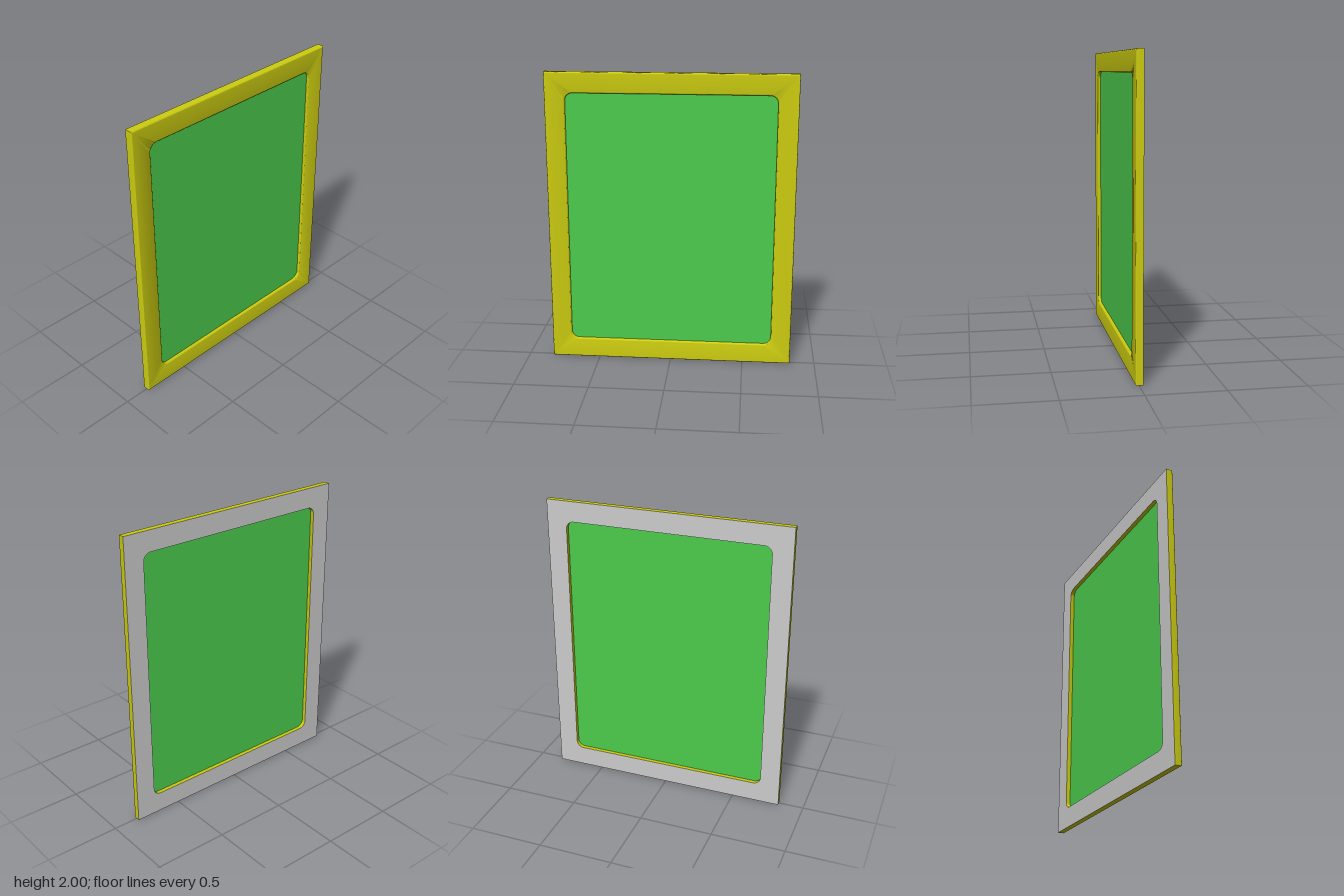
import * as THREE from 'three';
import { toCreasedNormals } from 'three/addons/utils/BufferGeometryUtils.js';

const W = 1.66, H = 2, BACK = -0.024, THICK = 0.048, BEVEL = 0.01;
const OPEN_W = 1.39, OPEN_H = 1.725, RADIUS = 0.052;

// Rectangle outline centred on the origin, with rounded corners if r > 0
function outline(path, w, h, r) {
  const x = w / 2, y = h / 2;
  if (!r) {
    path.moveTo(-x, -y).lineTo(x, -y).lineTo(x, y).lineTo(-x, y).closePath();
    return path;
  }
  path.absarc(x - r, y - r, r, 0, Math.PI / 2);
  path.absarc(r - x, y - r, r, Math.PI / 2, Math.PI);
  path.absarc(r - x, r - y, r, Math.PI, Math.PI * 1.5);
  path.absarc(x - r, r - y, r, Math.PI * 1.5, Math.PI * 2);
  path.closePath();
  return path;
}

// Extruded frame keeping only the walls, front bevel and front face
function frontFrame(shape) {
  const solid = new THREE.ExtrudeGeometry(shape, {
    depth: THICK - BEVEL, bevelThickness: BEVEL, bevelSize: BEVEL,
    bevelOffset: -BEVEL, bevelSegments: 4, curveSegments: 10,
  });
  const p = solid.attributes.position, kept = [];
  for (let i = 0; i < p.count; i += 3) {
    if (Math.max(p.getZ(i), p.getZ(i + 1), p.getZ(i + 2)) < 1e-5) continue;
    for (let j = i; j < i + 3; j++) kept.push(p.getX(j), p.getY(j), p.getZ(j));
  }
  const g = new THREE.BufferGeometry();
  g.setAttribute('position', new THREE.Float32BufferAttribute(kept, 3));
  return toCreasedNormals(g, 0.7);
}

export function createModel() {
  const group = new THREE.Group();
  const add = (name, geometry, color, z, side = THREE.FrontSide) => {
    const mesh = new THREE.Mesh(geometry, new THREE.MeshStandardMaterial({ color, side }));
    mesh.name = name;
    mesh.position.set(0, H / 2, z);
    group.add(mesh);
    return mesh;
  };

  const shape = outline(new THREE.Shape(), W, H, 0);
  shape.holes.push(outline(new THREE.Path(), OPEN_W, OPEN_H, RADIUS));

  // Yellow frame with softened front edges
  add('frame', frontFrame(shape), 0xcccc11, BACK);

  // Flat grey backing, facing backwards
  add('frameBack', new THREE.ShapeGeometry(shape, 10).rotateY(Math.PI), 0xcccccc, BACK);

  // Thin green panel filling the opening
  const panel = outline(new THREE.Shape(), OPEN_W, OPEN_H, RADIUS);
  add('panel', new THREE.ShapeGeometry(panel, 10), 0x4ccc4c, 0.004, THREE.DoubleSide);

  return group;
}
